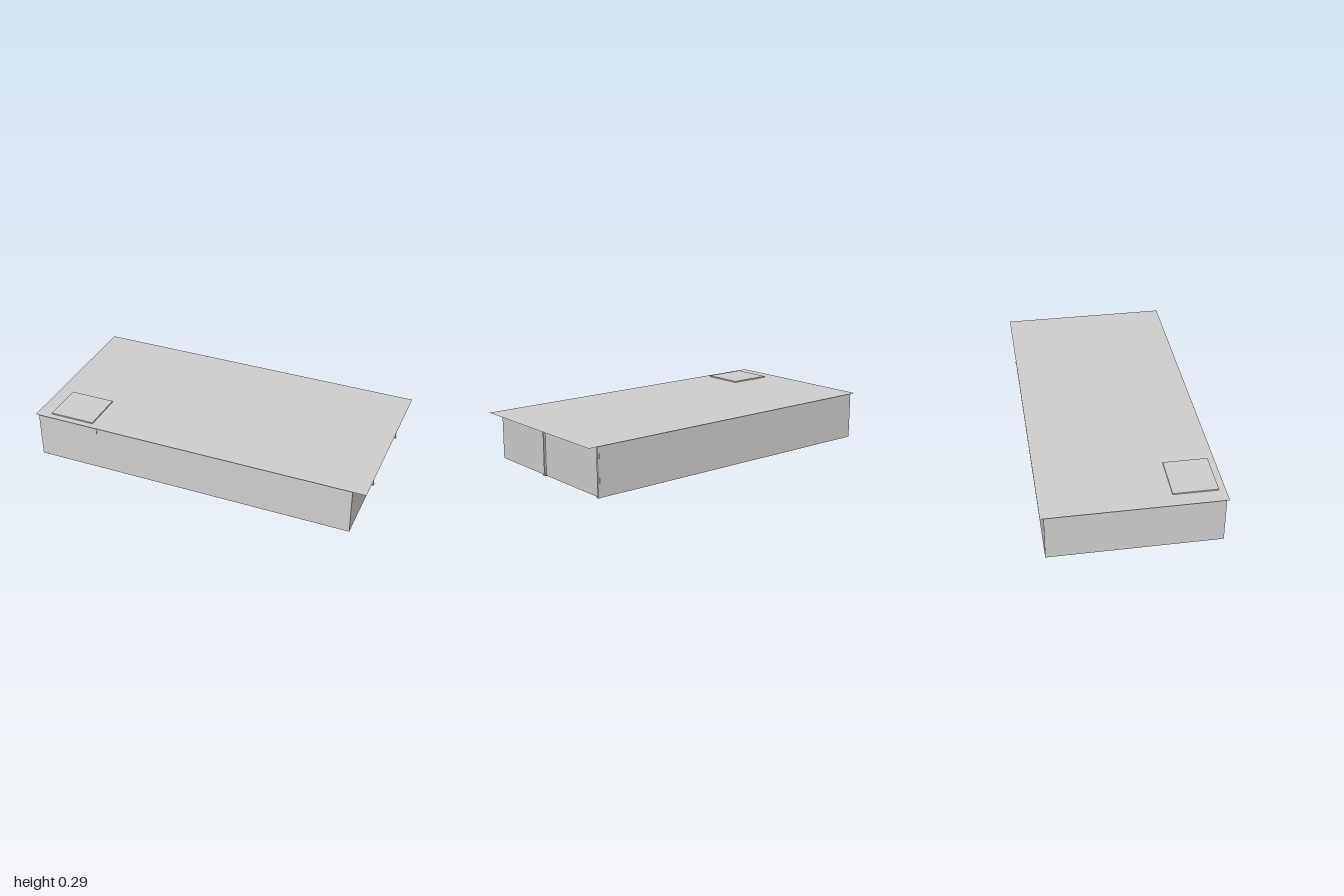
import * as THREE from 'three';

export function createModel() {
  const model = new THREE.Group();
  const plaster = new THREE.MeshStandardMaterial({ color: 0xd0cecb, side: THREE.DoubleSide });
  plaster.name = 'pale grey plaster';
  const wood = new THREE.MeshStandardMaterial({ color: 0xa0805f });
  wood.name = 'brown floor';

  // Box given by its limits on each axis
  function box(name, [x0, x1], [y0, y1], [z0, z1], material = plaster) {
    const mesh = new THREE.Mesh(new THREE.BoxGeometry(x1 - x0, y1 - y0, z1 - z0), material);
    mesh.position.set((x0 + x1) / 2, (y0 + y1) / 2, (z0 + z1) / 2);
    mesh.name = name;
    model.add(mesh);
    return mesh;
  }

  const L = -0.985, R = 0.923, B = -0.48, F = 0.48, H = 0.28, T = 0.012;
  const wallY = [0, H];

  // Outer walls
  box('frontWall', [L, R], wallY, [F - T, F]);
  box('backWall', [L, R], wallY, [B, B + T]);
  box('rightEndWall', [L, L + T], wallY, [B + T, F - T]);
  box('leftEndWall', [R - T, R], wallY, [B + T, F - T]);

  // Inner partitions: one long wall and three cross walls
  box('longPartition', [-0.578, R - T], wallY, [0.026, 0.034]);
  for (const x of [-0.574, -0.2, 0.41]) {
    box('crossPartition', [x - 0.004, x + 0.004], wallY, [0.034, F - T]);
  }

  // Floor slab, just above the wall feet
  box('floor', [L + T, R - T], [0.0005, 0.004], [B + T, F - T], wood);

  // Roof sheet overhanging both ends
  const roof = new THREE.Mesh(new THREE.PlaneGeometry(2, 0.99), plaster);
  roof.rotation.x = -Math.PI / 2;
  roof.position.set(0, H + 0.0005, -0.005);
  roof.name = 'roof';
  model.add(roof);

  // Roof hatch
  box('roofHatch', [-0.912, -0.645], [H, H + 0.008], [0.205, 0.453]);

  // Posts with foot plates against the left end
  for (const z of [0.031, -0.474]) {
    box('post', [R, R + 0.01], [0.006, H], [z - 0.005, z + 0.005]);
    box('postFoot', [R, R + 0.013], [0, 0.007], [z - 0.009, z + 0.009]);
  }

  // Small bracket on the front wall
  box('wallBracket', [-0.607, -0.604], [0.24, 0.27], [F, F + 0.004]);

  return model;
}
